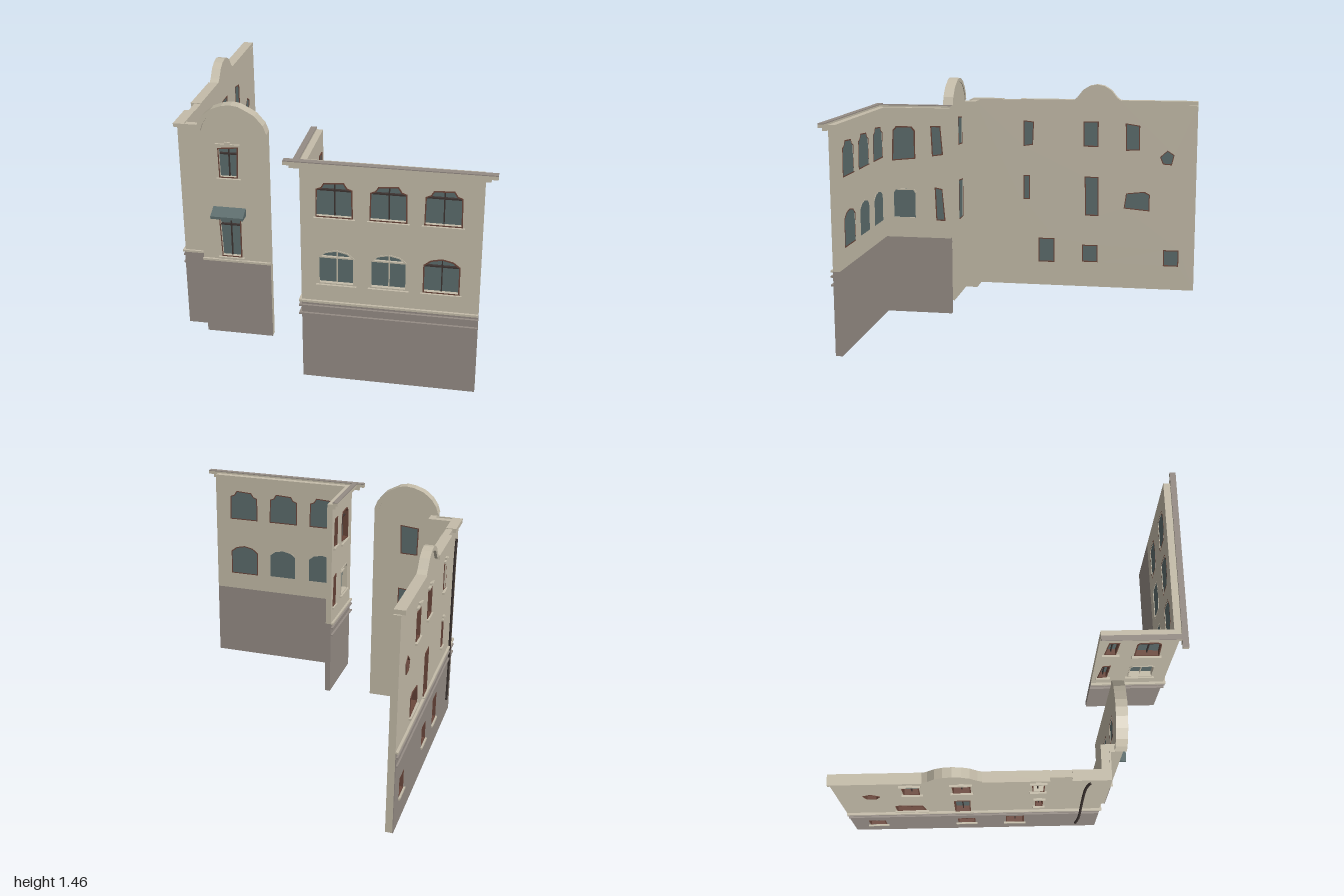
import * as THREE from 'three';

const mat = (name, color) => Object.assign(new THREE.MeshStandardMaterial({ color }), { name });

export function createModel() {
  const plaster = mat('plaster', 0xc4bca9);
  const stone = mat('plinth stone', 0x958c85);
  const glass = mat('window glass', 0x5c6c6c);
  const brown = mat('window frame brown', 0x6b473b);
  const dark = mat('glazing bar dark', 0x3d3431);

  const T = 0.04; // wall thickness
  const model = new THREE.Group();
  model.name = 'streetFacades';

  const toShape = pts => new THREE.Shape(pts.map(p => new THREE.Vector2(p[0], p[1])));
  const rect = (x0, x1, y0, y1) => [[x0, y0], [x1, y0], [x1, y1], [x0, y1]];
  const bounds = pts => {
    const us = pts.map(p => p[0]), vs = pts.map(p => p[1]);
    return [Math.min(...us), Math.max(...us), Math.min(...vs), Math.max(...vs)];
  };

  // flat outline pushed from depth z0 to z1
  function slab(parent, name, material, outline, z0, z1, holes = []) {
    const s = toShape(outline);
    holes.forEach(h => s.holes.push(toShape(h)));
    const g = new THREE.ExtrudeGeometry(s, { depth: z1 - z0, bevelEnabled: false });
    g.translate(0, 0, z0);
    const m = new THREE.Mesh(g, material);
    m.name = name;
    parent.add(m);
    return m;
  }
  const box = (parent, name, material, x0, x1, y0, y1, z0, z1) =>
    slab(parent, name, material, rect(x0, x1, y0, y1), z0, z1);

  // a facade is drawn in its own plane: outer face at z = 0, wall behind it
  function facade(name, x, z, turn) {
    const g = new THREE.Group();
    g.name = name;
    g.position.set(x, 0, z);
    g.rotation.y = turn;
    model.add(g);
    return g;
  }

  // glazed opening with frame, bars, sill and optional lintel
  function addWindow(parent, pts, { frame = brown, bars = true, lintel = false, sill = true } = {}) {
    const w = new THREE.Group();
    w.name = 'window';
    parent.add(w);
    const [u0, u1, v0, v1] = bounds(pts);
    const cu = (u0 + u1) / 2, cv = (v0 + v1) / 2, f = 0.014;
    const ku = 1 - f / (u1 - u0), kv = 1 - f / (v1 - v0);
    const inner = pts.map(([u, v]) => [cu + (u - cu) * ku, cv + (v - cv) * kv]);
    slab(w, 'glassPane', glass, pts, -T + 0.004, -T + 0.01);
    slab(w, 'windowFrame', frame, pts, -T - 0.001, 0.004, [inner]);
    if (bars) {
      const b = frame === brown ? dark : frame, t = v0 + (v1 - v0) * 0.74;
      box(w, 'mullion', b, cu - 0.003, cu + 0.003, v0 + 0.005, v1 - 0.008, -0.028, -0.015);
      box(w, 'transom', b, u0 + 0.006, u1 - 0.006, t - 0.004, t + 0.004, -0.028, -0.013);
    }
    if (sill) box(w, 'sill', plaster, u0 - 0.012, u1 + 0.012, v0 - 0.014, v0 - 0.002, 0, 0.014);
    if (lintel) {
      box(w, 'lintel', plaster, u0 - 0.012, u1 + 0.012, v1 + 0.004, v1 + 0.016, 0, 0.012);
      box(w, 'keystone', plaster, cu - 0.016, cu + 0.016, v1 + 0.016, v1 + 0.028, 0, 0.012);
    }
  }

  // horizontal mouldings over the plinth
  function mouldings(parent, u0, u1, out = 0.014) {
    box(parent, 'plinthLedge', plaster, u0, u1, 0.484, 0.496, 0, out);
    for (const y of [0.41, 0.46]) box(parent, 'plinthMoulding', stone, u0, u1, y - 0.005, y + 0.005, 0, out);
  }

  // arch-shaped coping band following a run of points
  function archCoping(parent, pts, centre, k, z0, z1) {
    const inner = pts.map(([u, v]) => [u + (centre[0] - u) * k, v + (centre[1] - v) * k]).reverse();
    slab(parent, 'archCoping', plaster, [...pts, ...inner], z0, z1);
  }

  // ---- corner building: front wall ----
  const front = facade('cornerFront', 0, 0.965, 0);
  const shoulder = [[-0.1, 0], [-0.097, 0.16], [-0.07, 0.172], [-0.055, 0.197], [0.052, 0.204],
    [0.07, 0.175], [0.096, 0.165], [0.1, 0]];
  const segment = [[-0.098, 0], [-0.098, 0.165], [-0.06, 0.195], [0, 0.208], [0.06, 0.195], [0.098, 0.165], [0.098, 0]];
  const place = (pts, x, y) => pts.map(([u, v]) => [u + x, v + y]);
  const frontWindows = [];
  [0.083, 0.37, 0.657].forEach((x, i) => {
    frontWindows.push([place(shoulder, x, 1.003), brown]);
    frontWindows.push([place(segment, x + 0.01 - i * 0.005, 0.603), i < 2 ? plaster : brown]);
  });
  slab(front, 'upperWall', plaster, rect(-0.1, 0.86, 0.49, 1.31), -T, 0, frontWindows.map(w => w[0]));
  box(front, 'plinth', stone, -0.1, 0.86, 0, 0.49, -T, 0);
  frontWindows.forEach(([p, frame]) => addWindow(front, p, { frame }));
  mouldings(front, -0.114, 0.86);
  box(front, 'corniceLower', plaster, -0.15, 0.89, 1.28, 1.3, 0, 0.022);
  box(front, 'corniceUpper', plaster, -0.18, 0.925, 1.3, 1.32, 0, 0.035);
  box(front, 'corniceCap', stone, -0.18, 0.925, 1.32, 1.325, 0, 0.035);

  // ---- corner building: side wall ----
  const side = facade('cornerSide', -0.1, 0, -Math.PI / 2);
  const sideWindows = [
    [[[0.88, 0.978], [0.872, 1.17], [0.85, 1.195], [0.75, 1.195], [0.73, 1.17], [0.73, 0.993]], brown],
    [[[0.88, 0.612], [0.88, 0.78], [0.865, 0.8], [0.74, 0.8], [0.726, 0.78], [0.726, 0.612]], plaster],
    [[[0.622, 1.01], [0.63, 1.2], [0.567, 1.2], [0.552, 1.02]], brown],
    [[[0.6, 0.603], [0.608, 0.815], [0.56, 0.805], [0.542, 0.603]], brown],
  ];
  slab(side, 'upperWall', plaster, rect(0.51, 0.925, 0.49, 1.31), -0.035, 0, sideWindows.map(w => w[0]));
  box(side, 'plinth', stone, 0.51, 0.925, 0, 0.49, -0.035, 0);
  sideWindows.forEach(([p, frame]) => addWindow(side, p, { frame }));
  mouldings(side, 0.51, 0.979);
  box(side, 'corniceLower', plaster, 0.51, 0.98, 1.28, 1.3, 0, 0.02);
  box(side, 'corniceUpper', plaster, 0.51, 0.965, 1.3, 1.32, 0, 0.032);
  box(side, 'corniceCap', stone, 0.51, 0.965, 1.32, 1.325, 0, 0.032);

  // ---- long side wall with small round gable ----
  const long = facade('longWall', -0.9, 0, -Math.PI / 2);
  const gable = [[-0.165, 1.293], [-0.19, 1.315], [-0.23, 1.365], [-0.275, 1.392], [-0.325, 1.402],
    [-0.375, 1.392], [-0.42, 1.365], [-0.46, 1.315], [-0.49, 1.293]];
  const longWindows = [
    [[0.105, 1.145], [0.178, 1.152], [0.178, 0.975], [0.112, 0.985]],
    rect(-0.338, -0.235, 0.98, 1.152),
    [[-0.52, 1.145], [-0.618, 1.13], [-0.618, 0.962], [-0.524, 0.958]],
    [[-0.755, 0.92], [-0.805, 0.966], [-0.852, 0.935], [-0.835, 0.866], [-0.775, 0.87]],
    rect(0.132, 0.178, 0.605, 0.775),
    [[-0.245, 0.775], [-0.342, 0.772], [-0.345, 0.502], [-0.252, 0.502]],
    [[-0.515, 0.56], [-0.53, 0.665], [-0.655, 0.68], [-0.692, 0.66], [-0.69, 0.545]],
    rect(-0.04, 0.072, 0.165, 0.335),
    rect(-0.34, -0.232, 0.175, 0.296),
    rect(-0.895, -0.79, 0.165, 0.278),
  ];
  slab(long, 'wall', plaster, [[-1, 0], [0.525, 0], [0.525, 1.293], ...gable, [-1, 1.267]], -T, 0, longWindows);
  slab(long, 'plinthFacing', stone, rect(-1, 0.525, 0, 0.49), 0, 0.004, longWindows.slice(7));
  longWindows.forEach((p, i) => addWindow(long, p, { lintel: i < 3 || i === 4, bars: i !== 3, sill: i !== 3 }));
  mouldings(long, -1, 0.525);
  for (const [a, b] of [[-1, -0.49], [-0.165, 0.2], [0.32, 0.525]])
    box(long, 'coping', plaster, a, b, 1.272, 1.297, -T, 0.022);
  archCoping(long, gable, [-0.3275, 1.26], 0.18, -T, 0.016);
  const pipe = new THREE.Mesh(new THREE.TubeGeometry(new THREE.CatmullRomCurve3([
    new THREE.Vector3(0.43, 1.2, 0.01), new THREE.Vector3(0.41, 1.1, 0.01),
    new THREE.Vector3(0.41, 0.25, 0.01), new THREE.Vector3(0.4, 0.12, 0.01)]), 16, 0.008, 6), dark);
  pipe.name = 'drainpipe';
  long.add(pipe);

  // ---- link wall and its return to the tower ----
  const link = facade('linkWall', 0, 0.525, 0);
  box(link, 'wall', plaster, -0.86, -0.72, 0, 1.29, -0.045, 0);
  box(link, 'return', plaster, -0.765, -0.72, 0, 1.29, 0, 0.04);
  box(link, 'plinthFacing', stone, -0.904, -0.76, 0, 0.49, 0, 0.004);
  box(link, 'plinthLedge', plaster, -0.914, -0.76, 0.484, 0.496, 0, 0.012);
  box(link, 'coping', plaster, -0.922, -0.76, 1.28, 1.297, 0, 0.008);

  // ---- round-topped tower front ----
  const tower = facade('towerFront', 0, 0.6, 0);
  const arch = [[-0.36, 1.3], [-0.378, 1.35], [-0.425, 1.405], [-0.46, 1.425], [-0.515, 1.453], [-0.56, 1.46],
    [-0.61, 1.453], [-0.67, 1.43], [-0.72, 1.39], [-0.75, 1.345], [-0.765, 1.3]];
  const towerWindows = [
    [[-0.645, 1.015], [-0.648, 1.195], [-0.53, 1.207], [-0.537, 1.018]],
    [[-0.65, 0.515], [-0.66, 0.775], [-0.53, 0.785], [-0.532, 0.515]],
  ];
  slab(tower, 'wall', plaster, [[-0.765, 0], [-0.365, 0], ...arch], -T, 0, towerWindows);
  box(tower, 'plinthFacing', stone, -0.765, -0.365, 0, 0.49, 0, 0.004);
  box(tower, 'plinthLedge', plaster, -0.767, -0.363, 0.484, 0.496, 0, 0.014);
  towerWindows.forEach((p, i) => addWindow(tower, p, { lintel: i === 0 }));
  archCoping(tower, arch, [-0.5625, 1.28], 0.14, -T - 0.005, 0.02);

  // sloping hood over the tower's lower window
  const hood = slab(tower, 'hood', glass, [[0, 0.785], [0.07, 0.785], [0.07, 0.8], [0, 0.832]], -0.095, 0.095);
  hood.rotation.y = -Math.PI / 2;
  hood.position.x = -0.595;

  return model;
}
